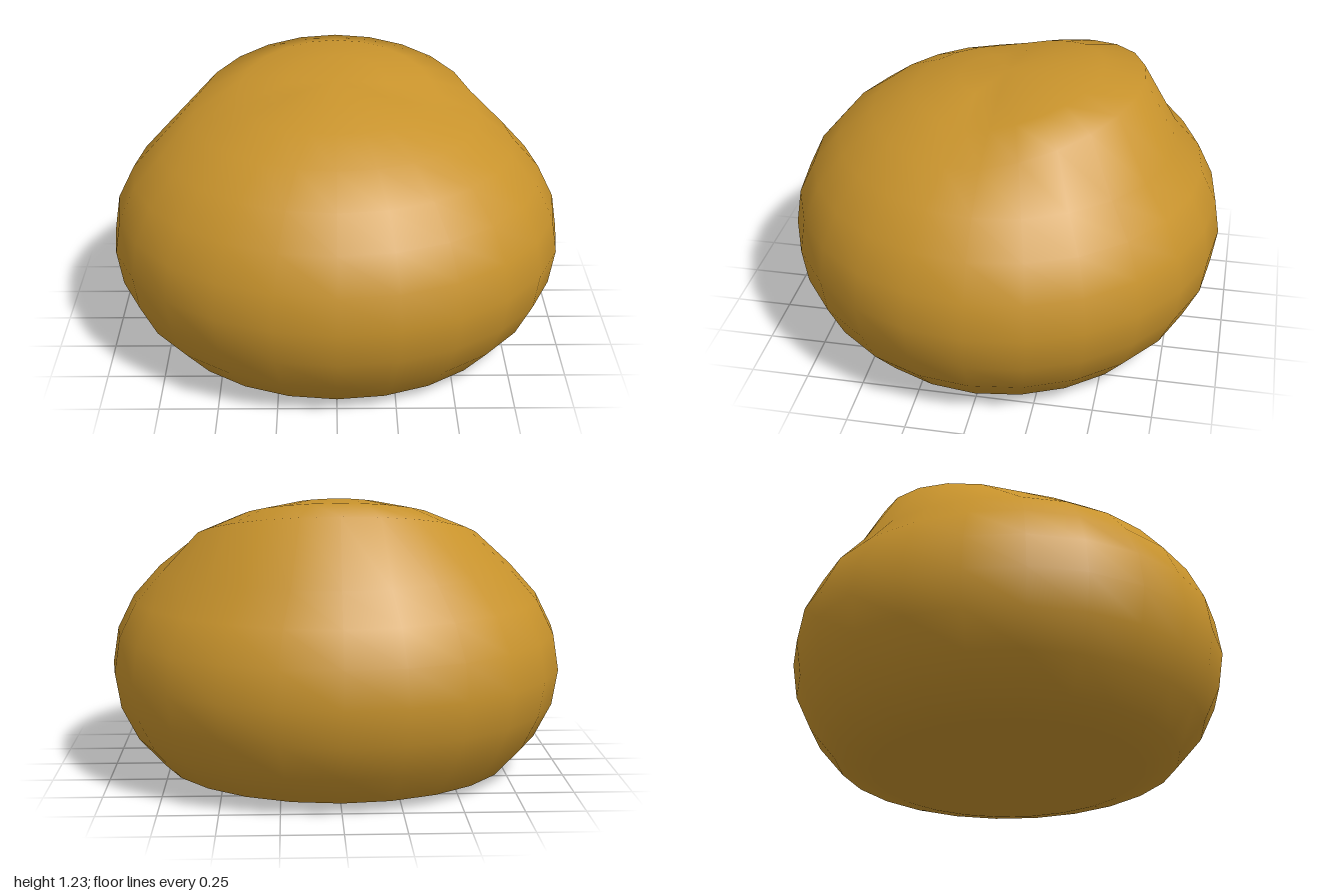
import * as THREE from 'three';
import { mergeVertices } from 'three/addons/utils/BufferGeometryUtils.js';

export function createModel() {
  const group = new THREE.Group();

  // Squashed sphere; the seam is welded so the shading stays smooth
  let geo = new THREE.SphereGeometry(1, 24, 14);
  geo.deleteAttribute('uv');
  geo.deleteAttribute('normal');
  geo = mergeVertices(geo, 1e-4);
  geo.scale(1, 0.7, 0.95);
  geo.translate(0, 0.478, 0);

  const pos = geo.attributes.position;
  for (let i = 0; i < pos.count; i++) {
    let y = pos.getY(i);
    const z = pos.getZ(i);
    // Raised hump: the upper back lifts more the further back it lies
    if (y > 0.97 && z < 0.04) y += 0.26 * (0.05 - z);
    // Flat underside
    pos.setY(i, Math.max(0, y));
  }
  geo.computeVertexNormals();

  const body = new THREE.Mesh(geo, new THREE.MeshStandardMaterial({ color: 0xc8932c }));
  body.name = 'body';
  group.add(body);
  return group;
}
